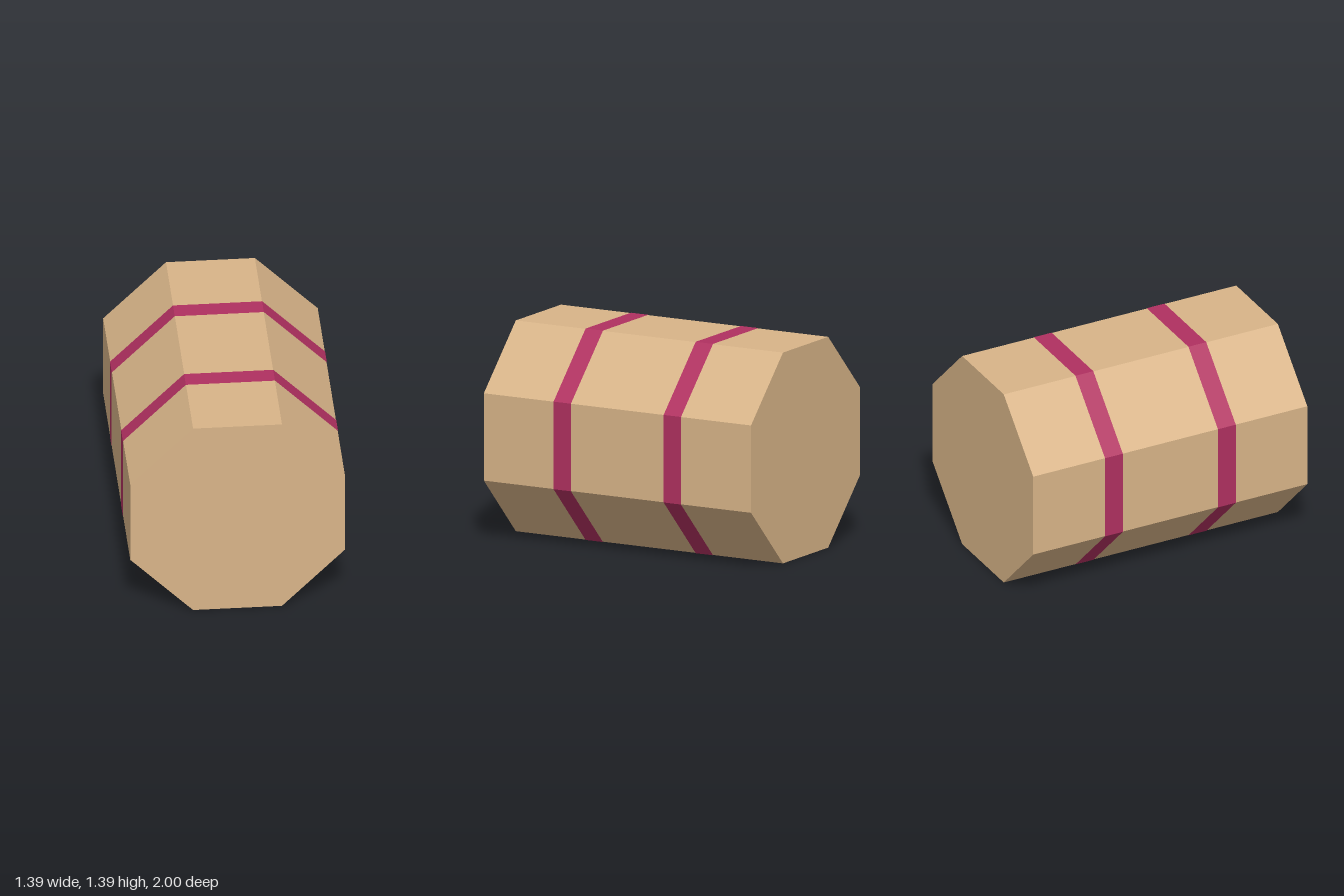
import * as THREE from 'three';

const APOTHEM = 0.695;
const STEP = Math.PI / 4;

// Faceted octagonal tube along z with a flat face underneath
function octagon(apothem, length, sides, open) {
  const r = apothem / Math.cos(STEP / 2);
  const g = new THREE.CylinderGeometry(r, r, length, sides, 1, open, STEP / 2, sides * STEP)
    .rotateX(Math.PI / 2)
    .toNonIndexed();
  g.computeVertexNormals();
  return g;
}

export function createModel() {
  const model = new THREE.Group();
  model.name = 'octagonalBale';

  const tan = new THREE.MeshStandardMaterial({ color: 0xd8b488 });
  tan.name = 'tan';
  const crimson = new THREE.MeshStandardMaterial({ color: 0xb03060 });
  crimson.name = 'crimson';

  // Solid body
  const body = new THREE.Mesh(octagon(APOTHEM, 2, 8, false), tan);
  body.name = 'body';
  body.position.y = APOTHEM;
  model.add(body);

  // Painted bands around every face except the underside
  for (const [name, z] of [['frontBand', 0.412], ['backBand', -0.412]]) {
    const band = new THREE.Mesh(octagon(APOTHEM + 0.002, 0.13, 7, true), crimson);
    band.name = name;
    band.position.set(0, APOTHEM, z);
    model.add(band);
  }

  return model;
}
